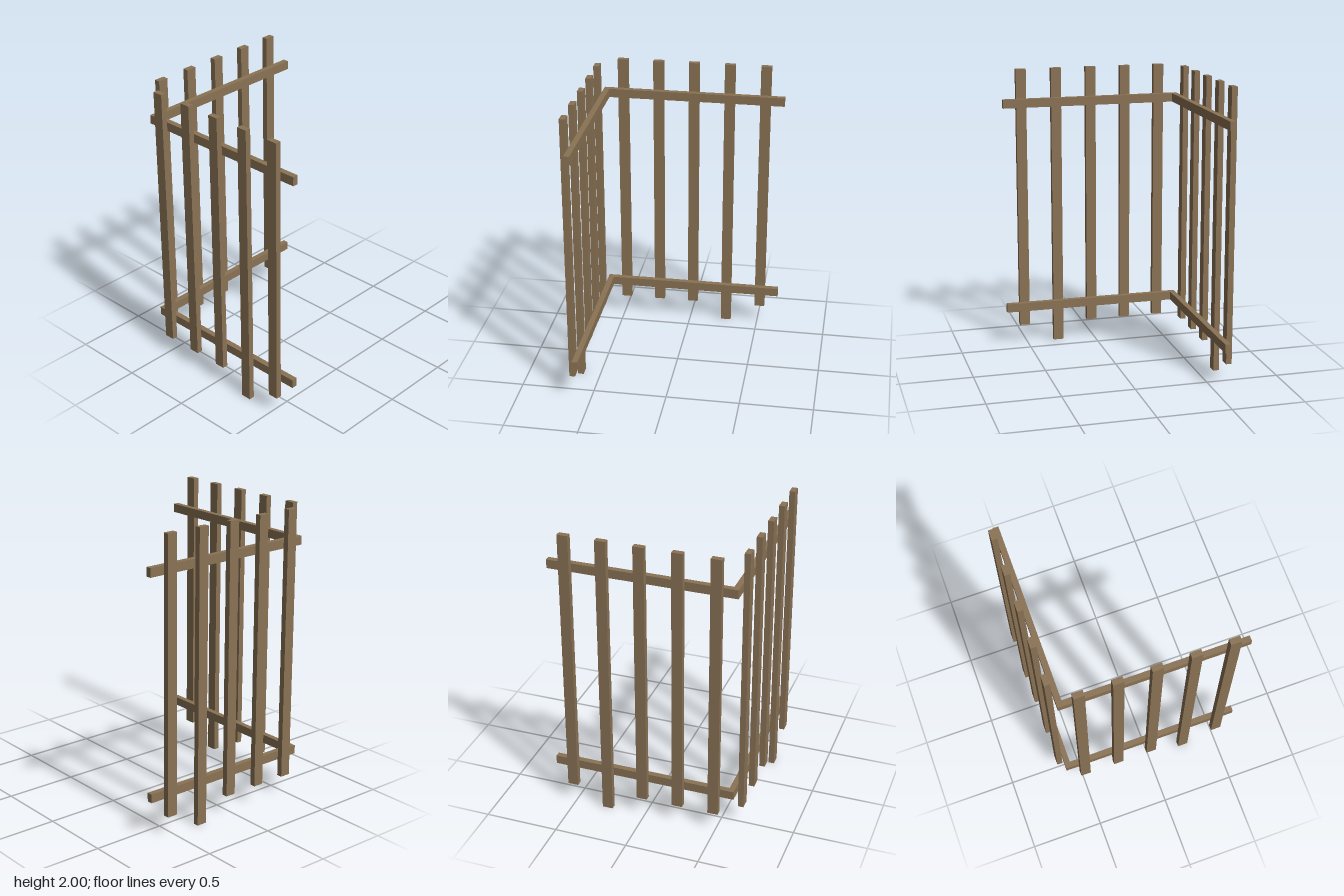
import * as THREE from 'three';

const wood = new THREE.MeshStandardMaterial({ color: 0x8b7355, flatShading: true });

// Box given by its min and max corners
function board(name, [x0, y0, z0], [x1, y1, z1]) {
  const mesh = new THREE.Mesh(new THREE.BoxGeometry(x1 - x0, y1 - y0, z1 - z0), wood);
  mesh.position.set((x0 + x1) / 2, (y0 + y1) / 2, (z0 + z1) / 2);
  mesh.name = name;
  return mesh;
}

const OUTER = -0.655, SLAT_IN = -0.616, RAIL_OUT = -0.612, RAIL_IN = -0.573, END = 0.653;
const SLAT_HALF = 0.036, TOP = 2, BOTTOM = 0.135;
const LONG_SLAT = 3; // this slat reaches the ground

export function createModel() {
  const model = new THREE.Group();
  model.name = 'cornerFence';
  const back = new THREE.Group();
  back.name = 'backPanel';
  const side = new THREE.Group();
  side.name = 'rightPanel';
  model.add(back, side);

  // Upright slats on the outside of both panels
  for (let i = 0; i < 5; i++) {
    const c = -0.483 + i * 0.25;
    const low = i === LONG_SLAT ? 0 : BOTTOM;
    back.add(board('backSlat', [c - SLAT_HALF, low, OUTER], [c + SLAT_HALF, TOP, SLAT_IN]));
    side.add(board('sideSlat', [OUTER, low, c - SLAT_HALF], [SLAT_IN, TOP, c + SLAT_HALF]));
  }

  // Lower and upper rails, butted together at the corner
  for (const y of [0.25, 1.735]) {
    back.add(board('backRail', [RAIL_OUT, y, RAIL_OUT], [END, y + 0.06, RAIL_IN]));
    side.add(board('sideRail', [RAIL_OUT, y, RAIL_IN], [RAIL_IN, y + 0.06, END]));
  }
  return model;
}
